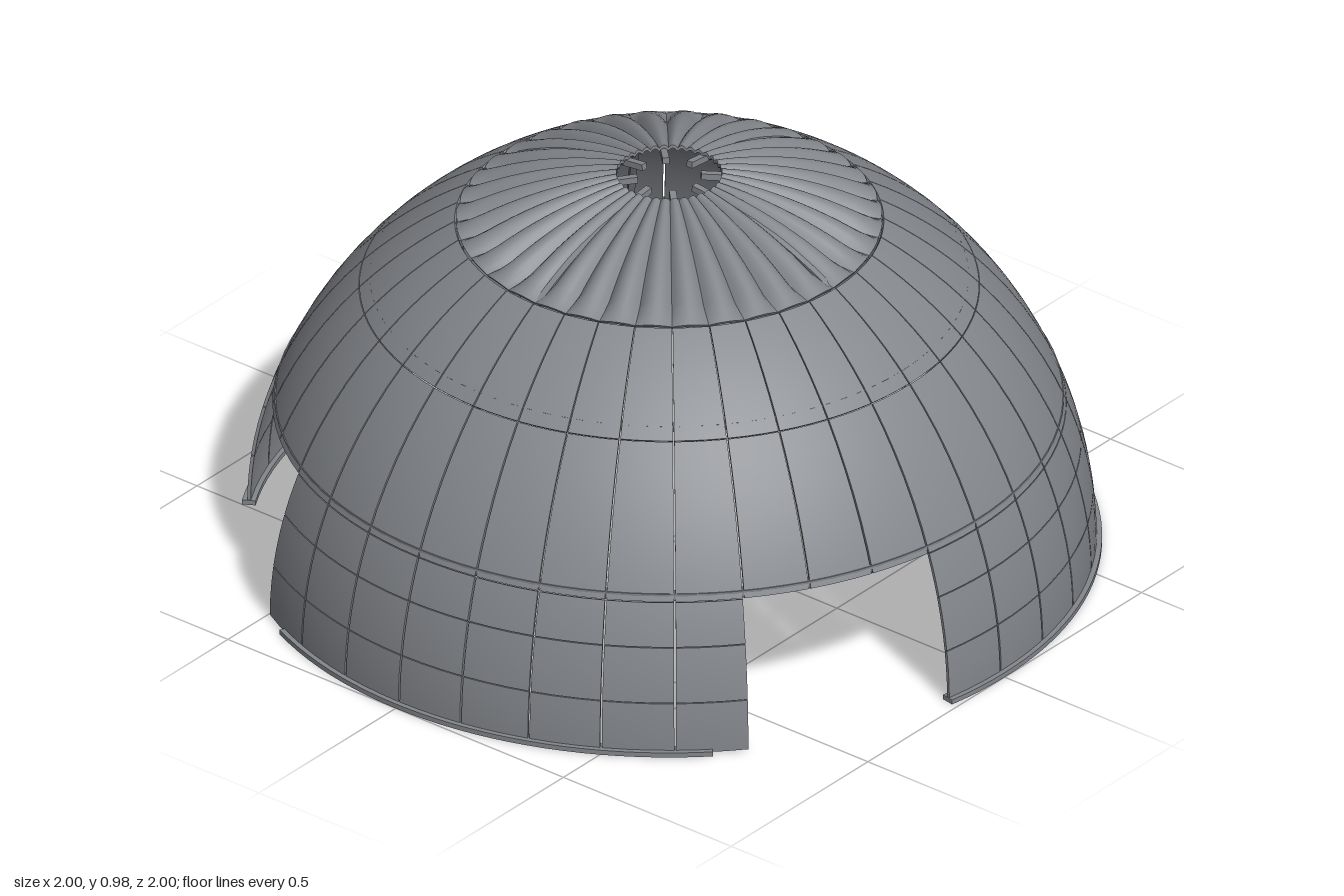
import * as THREE from 'three';
import { mergeGeometries } from 'three/addons/utils/BufferGeometryUtils.js';

const R = 0.988;           // outer radius of the dome
const THICK = 0.008;       // panel thickness
const GAP = 0.0022;        // half the joint between panels, in radians
const DEG = Math.PI / 180;
const latitude = (y) => Math.asin(y / R);
const azimuth = (x, z) => Math.atan2(x, z);

// Direction on the sphere: azimuth a from +z towards +x, latitude t from the base
const direction = (a, t) =>
  new THREE.Vector3(Math.sin(a) * Math.cos(t), Math.sin(t), Math.cos(a) * Math.cos(t));

// Bend a unit box by a rule of u, v, w (each 0..1)
function bentBox(nu, nv, rule) {
  const g = new THREE.BoxGeometry(1, 1, 1, nu, nv, 1);
  const p = g.attributes.position;
  for (let i = 0; i < p.count; i++) {
    const q = rule(p.getX(i) + 0.5, p.getY(i) + 0.5, p.getZ(i) + 0.5);
    p.setXYZ(i, q.x, q.y, q.z);
  }
  g.computeVertexNormals();
  return g;
}

// Curved plate of the sphere with smooth outer and inner faces
function spherePatch(a0, a1, t0, t1, r0, r1, nu, nv) {
  const lerp = THREE.MathUtils.lerp;
  const g = bentBox(nu, nv, (u, v, w) =>
    direction(lerp(a0, a1, u), lerp(t0, t1, v)).multiplyScalar(lerp(r0, r1, w)));
  const p = g.attributes.position, n = g.attributes.normal;
  const radial = new THREE.Vector3(), normal = new THREE.Vector3();
  for (let i = 0; i < p.count; i++) {
    radial.fromBufferAttribute(p, i).normalize();
    const d = normal.fromBufferAttribute(n, i).dot(radial);
    if (Math.abs(d) > 0.9) {
      radial.multiplyScalar(Math.sign(d));
      n.setXYZ(i, radial.x, radial.y, radial.z);
    }
  }
  return g;
}

// Band of rectangular section between two heights and radii
function band(a0, a1, y0, y1, r0, r1, n) {
  return bentBox(n, 1, (u, v, w) => {
    const a = a0 + (a1 - a0) * u, r = r0 + (r1 - r0) * w;
    return new THREE.Vector3(Math.sin(a) * r, y0 + (y1 - y0) * v, Math.cos(a) * r);
  });
}

// Fluted cap: convex gores meeting in valleys, open in the middle
function flutedCap() {
  const gores = 36, steps = 8, rows = 12;
  const t0 = latitude(0.857), t1 = Math.acos(0.122 / R);
  const parts = [];
  for (let k = 0; k < gores; k++) {
    parts.push(bentBox(steps, rows, (u, v, w) => {
      const t = t0 + (t1 - t0) * v;
      const valley = Math.pow(Math.abs(2 * u - 1), 2);
      const depth = 0.03 * Math.cos(t) / Math.cos(t0) * Math.min(1, 0.25 + v * 5);
      const r = R + 0.003 - depth * valley - (1 - w) * THICK;
      return direction((k + u) * 10 * DEG, t).multiplyScalar(r);
    }));
  }
  return mergeGeometries(parts);
}

export function createModel() {
  const group = new THREE.Group();
  const shell = new THREE.MeshStandardMaterial({ color: 0x83868b });
  shell.name = 'shell grey';
  const add = (name, geometry) => {
    const mesh = new THREE.Mesh(geometry, shell);
    mesh.name = name;
    group.add(mesh);
    return mesh;
  };

  // Rows of panels; the lowest three leave out two doorways
  const heights = [0.004, 0.132, 0.265, 0.367, 0.68, 0.855];
  const isDoor = (deg) => (deg >= 50 && deg < 80) || (deg >= 300 && deg < 330);
  for (let row = 0; row < 5; row++) {
    const t0 = latitude(heights[row]) + GAP / 2;
    const t1 = latitude(heights[row + 1]) - GAP / 2;
    const parts = [];
    for (let deg = 0; deg < 360; deg += 10) {
      if (row < 3 && isDoor(deg)) continue;
      parts.push(spherePatch(deg * DEG + GAP, (deg + 10) * DEG - GAP,
        t0, t1, R - THICK, R, 3, row < 3 ? 3 : 6));
    }
    add('panelRow' + (row + 1), mergeGeometries(parts));
  }

  add('flutedCap', flutedCap());

  // Base rim, interrupted at the doorways
  add('frontRim', band(-25 * DEG, 45 * DEG, 0, 0.012, 0.968, 1, 28));
  add('rearRim', band(80 * DEG, 300 * DEG, 0, 0.012, 0.968, 1, 88));

  // Inner ring beams
  add('lowerRing', band(0, 2 * Math.PI, 0.367, 0.385, 0.893, 0.912, 96));
  add('upperRing', band(0, 2 * Math.PI, 0.69, 0.705, 0.672, 0.692, 96));

  // Inner ribs every 45 degrees, cut short above a doorway
  for (let k = 0; k < 8; k++) {
    const t0 = k === 7 ? latitude(0.367) : 0.006;
    const t1 = Math.acos(0.075 / R);
    const rib = add('rib', bentBox(1, 24, (u, v, w) => {
      const q = direction(0, t0 + (t1 - t0) * v).multiplyScalar(R - 0.024 + w * 0.016);
      q.x = (u - 0.5) * 0.016;
      return q;
    }));
    rib.rotation.y = k * 45 * DEG;
  }
  return group;
}
